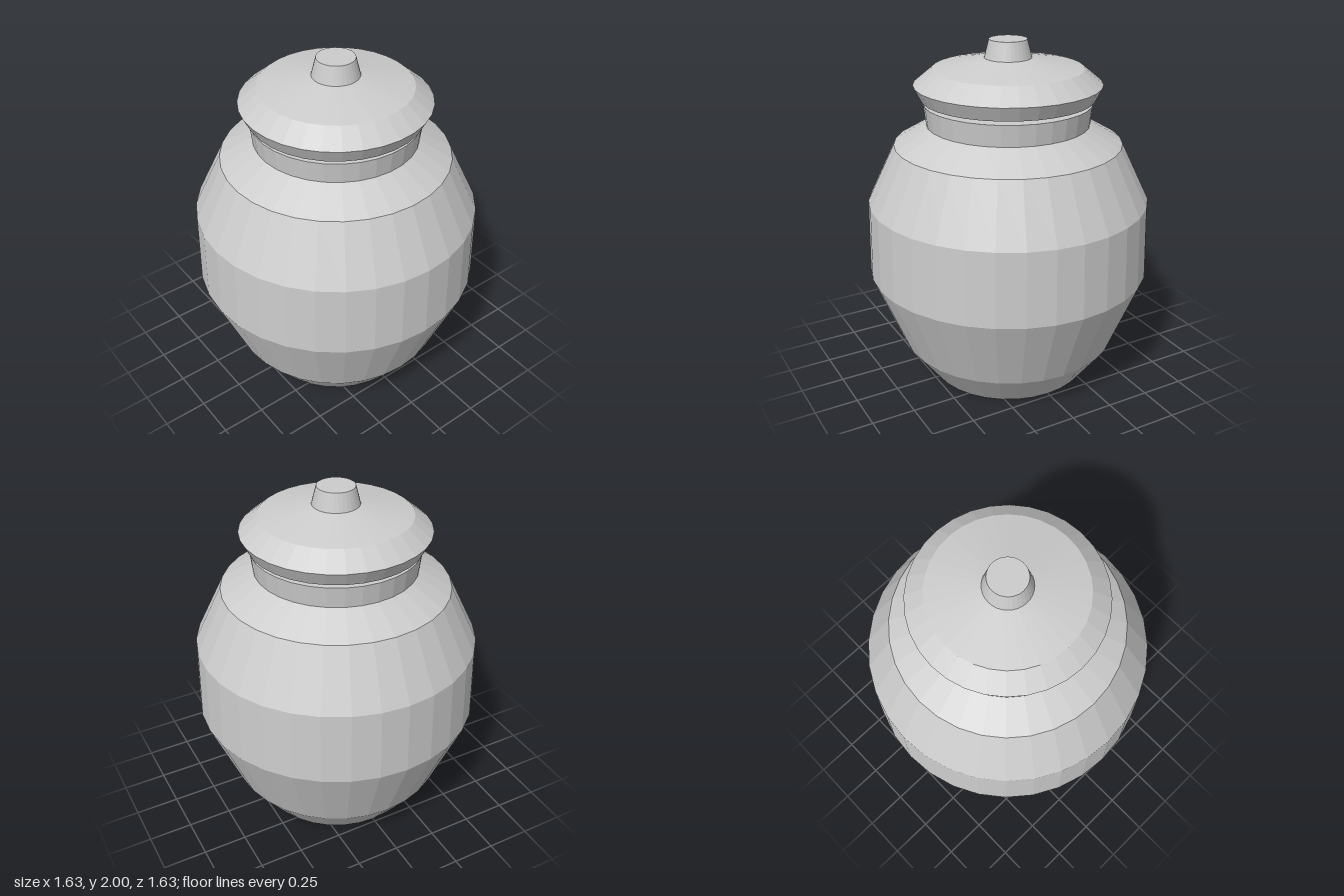
import * as THREE from 'three';

const SIDES = 32;

// Turns a closed [radius, height] profile, listed from bottom to top, into a faceted solid.
function turned(name, profile, material) {
  const points = profile.map(([r, y]) => new THREE.Vector2(r, y));
  const mesh = new THREE.Mesh(new THREE.LatheGeometry(points, SIDES), material);
  mesh.name = name;
  return mesh;
}

export function createModel() {
  const clay = new THREE.MeshStandardMaterial({ color: 0xcccccc, flatShading: true });
  clay.name = 'grey clay';

  const jar = new THREE.Group();
  jar.name = 'lidded jar';

  // Belly, shoulder and slightly flared neck
  jar.add(turned('body', [
    [0, 0], [0.477, 0], [0.636, 0.212], [0.817, 0.662], [0.806, 1.09],
    [0.647, 1.42], [0.461, 1.528], [0.475, 1.65], [0, 1.65],
  ], clay));

  // Lid floating just above the neck
  jar.add(turned('lid', [
    [0, 1.674], [0.487, 1.674], [0.528, 1.755], [0.423, 1.842], [0.132, 1.898], [0, 1.898],
  ], clay));

  // Tapered knob
  jar.add(turned('knob', [
    [0, 1.898], [0.132, 1.898], [0.106, 2], [0, 2],
  ], clay));

  return jar;
}
